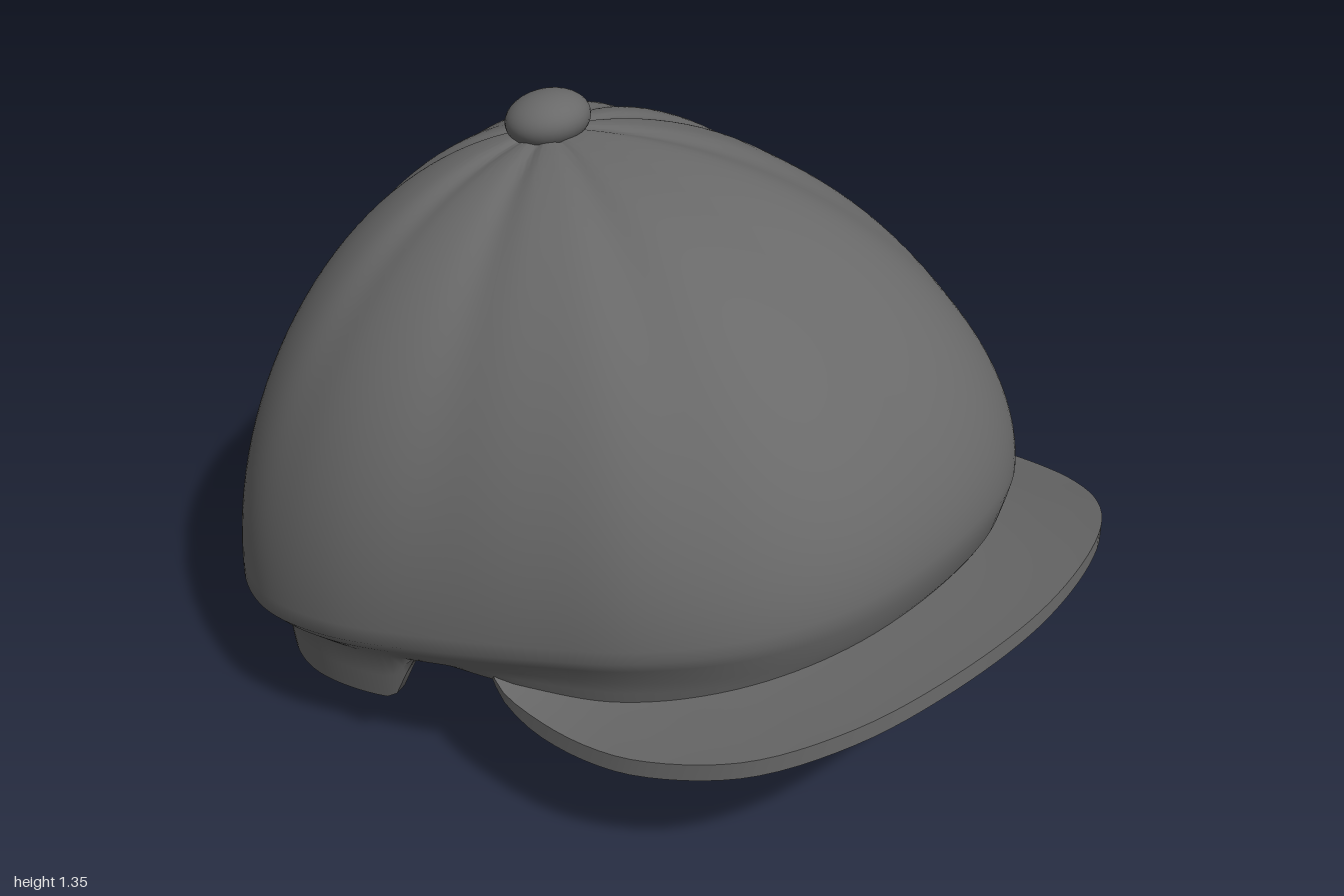
import * as THREE from 'three';
import { toCreasedNormals } from 'three/addons/utils/BufferGeometryUtils.js';

const material = new THREE.MeshStandardMaterial({ color: 0x696969, side: THREE.DoubleSide });
const { lerp, smoothstep } = THREE.MathUtils;

// Skin a grid of points: rows[i][j] -> Vector3
function skin(rows, crease) {
  const n = rows[0].length, index = [];
  for (let i = 0; i < rows.length - 1; i++) {
    for (let j = 0; j < n - 1; j++) {
      const a = i * n + j, b = a + n;
      index.push(a, b, b + 1, a, b + 1, a + 1);
    }
  }
  const geo = new THREE.BufferGeometry().setFromPoints(rows.flat());
  geo.setIndex(index);
  return toCreasedNormals(geo, crease);
}

// Mirror a half path (front to side) across x
const mirrored = half => [...half.slice(1).reverse().map(([x, ...r]) => [-x, ...r]), ...half];
const curve = (pts, closed = false) =>
  new THREE.CatmullRomCurve3(pts.map(p => new THREE.Vector3(...p)), closed, 'centripetal');

const POLE_Y = 1.26, POLE_Z = -0.34;

// Height of the fold where the crown meets the band
const foldY = z => 0.58 - 0.205 * (0.775 - z);

// Height of the lower edge: arched over the visor, stepping down at the back
function rimY(z) {
  const front = 0.32 + 0.14 * Math.pow(Math.max(z, 0) / 0.75, 2);
  const back = Math.max(0, 0.17 * (1 - (-0.2 - z) / 0.71));
  return lerp(back, front, smoothstep(z, -0.21, -0.12));
}

// Shallow grooves along the panel seams, by angle from the front
const SEAMS = [32, 68, 100, 145].map(d => d * Math.PI / 180);
function groove(angle, t) {
  let d = 0;
  for (const s of SEAMS) d += Math.exp(-Math.pow((Math.abs(angle) - s) / 0.12, 2));
  return 0.014 * d * Math.sin(Math.PI * Math.pow(t, 0.6));
}

function shellGeometry() {
  const half = [[0, 0, 0.775], [0.3, 0, 0.735], [0.5, 0, 0.62], [0.65, 0, 0.42], [0.73, 0, 0.2],
    [0.8, 0, -0.05], [0.842, 0, -0.3], [0.815, 0, -0.52], [0.705, 0, -0.71], [0.53, 0, -0.85], [0.3, 0, -0.95]];
  const outline = curve([...half, [0, 0, -1], ...half.slice(1).reverse().map(([x, y, z]) => [-x, y, z])], true);
  const N = 176, M = 36;
  const plan = Array.from({ length: N + 1 }, (_, j) => outline.getPoint((j % N) / N));
  const at = (c, s, y) => new THREE.Vector3(c.x * s, y, POLE_Z + (c.z - POLE_Z) * s);
  const inset = c => 0.88 + 0.105 * Math.pow(Math.max(0, (c.z + 1) / 1.775), 1.5);

  // Domed crown, fuller at the sides and with a slight rise ahead of the button
  const dome = (thick, t) => plan.map(c => {
    const a = Math.atan2(c.x, c.z - POLE_Z);
    const n = 1.8 + 0.2 * Math.abs(Math.sin(a));
    const f = Math.pow(Math.sin(t * Math.PI / 2), 2 / n);
    const g = Math.pow(Math.max(0, Math.cos(t * Math.PI / 2)), 2 / n);
    const d = groove(a, t);
    const rise = 0.03 * Math.max(0, Math.cos(a)) * Math.sin(Math.PI * f);
    const y0 = foldY(c.z);
    return at(c, f * (1 - thick) * (1 - d), y0 + (POLE_Y - y0) * g + rise - d * 0.8 * g - thick * g);
  });
  // Rounded turn under the fold
  const turn = plan.map(c => at(c, lerp(1, inset(c), 0.3), foldY(c.z) - 0.03));
  // Inset band below the fold
  const band = (thick, k) => plan.map(c => {
    const s = inset(c) * (1 - 0.02 * k) - thick;
    const z = POLE_Z + (c.z - POLE_Z) * inset(c) * 0.98;
    return at(c, s, lerp(foldY(c.z) - 0.085, rimY(z), k));
  });

  const rows = [];
  for (let i = 0; i <= M; i++) rows.push(dome(0, i / M));
  rows.push(turn);
  for (const k of [0, 0.5, 1]) rows.push(band(0, k));
  for (const k of [1, 0.5]) rows.push(band(0.04, k));
  for (let i = M - 2; i >= 0; i--) rows.push(dome(0.05, i / M));
  return skin(rows, 1);
}

function visorGeometry() {
  const outer = curve(mirrored([[0, 0.525, 0.995], [0.3, 0.51, 0.955], [0.5, 0.465, 0.865], [0.65, 0.4, 0.71],
    [0.73, 0.345, 0.5], [0.742, 0.32, 0.35], [0.732, 0.315, 0.2], [0.715, 0.325, 0.1], [0.685, 0.345, 0.04]]));
  const inner = curve(mirrored([[0, 0.48, 0.685], [0.25, 0.465, 0.645], [0.44, 0.425, 0.54], [0.56, 0.375, 0.39],
    [0.63, 0.345, 0.2], [0.66, 0.345, 0.05]]));
  const N = 72, rows = [];
  for (let i = 0; i <= N; i++) {
    const a = inner.getPointAt(i / N), b = outer.getPointAt(i / N);
    const mid = a.clone().lerp(b, 0.5);
    mid.y -= 0.008;
    // Thins out toward both ends
    const thick = lerp(0.015, 0.042, smoothstep(Math.min(i, N - i), 0, 5));
    const down = p => p.clone().setY(p.y - thick);
    rows.push([a.clone(), down(a), down(mid), down(b), b, mid, a]);
  }
  // Close both ends
  const cap = row => {
    const c = row[0].clone().add(row[1]).add(row[3]).add(row[4]).multiplyScalar(0.25);
    return row.map(() => c.clone());
  };
  rows.unshift(cap(rows[0]));
  rows.push(cap(rows[rows.length - 1]));
  return skin(rows, 0.7);
}

export function createModel() {
  const group = new THREE.Group();
  group.name = 'cap';
  const add = (name, geo) => {
    const mesh = new THREE.Mesh(geo, material);
    mesh.name = name;
    group.add(mesh);
    return mesh;
  };

  add('crown', shellGeometry());
  add('visor', visorGeometry());

  // Covered button over the seams, tipped back
  const button = add('topButton', new THREE.SphereGeometry(1, 32, 20));
  button.scale.set(0.1, 0.063, 0.096);
  button.position.set(0, 1.281, -0.342);
  button.rotation.x = -0.2;
  return group;
}
